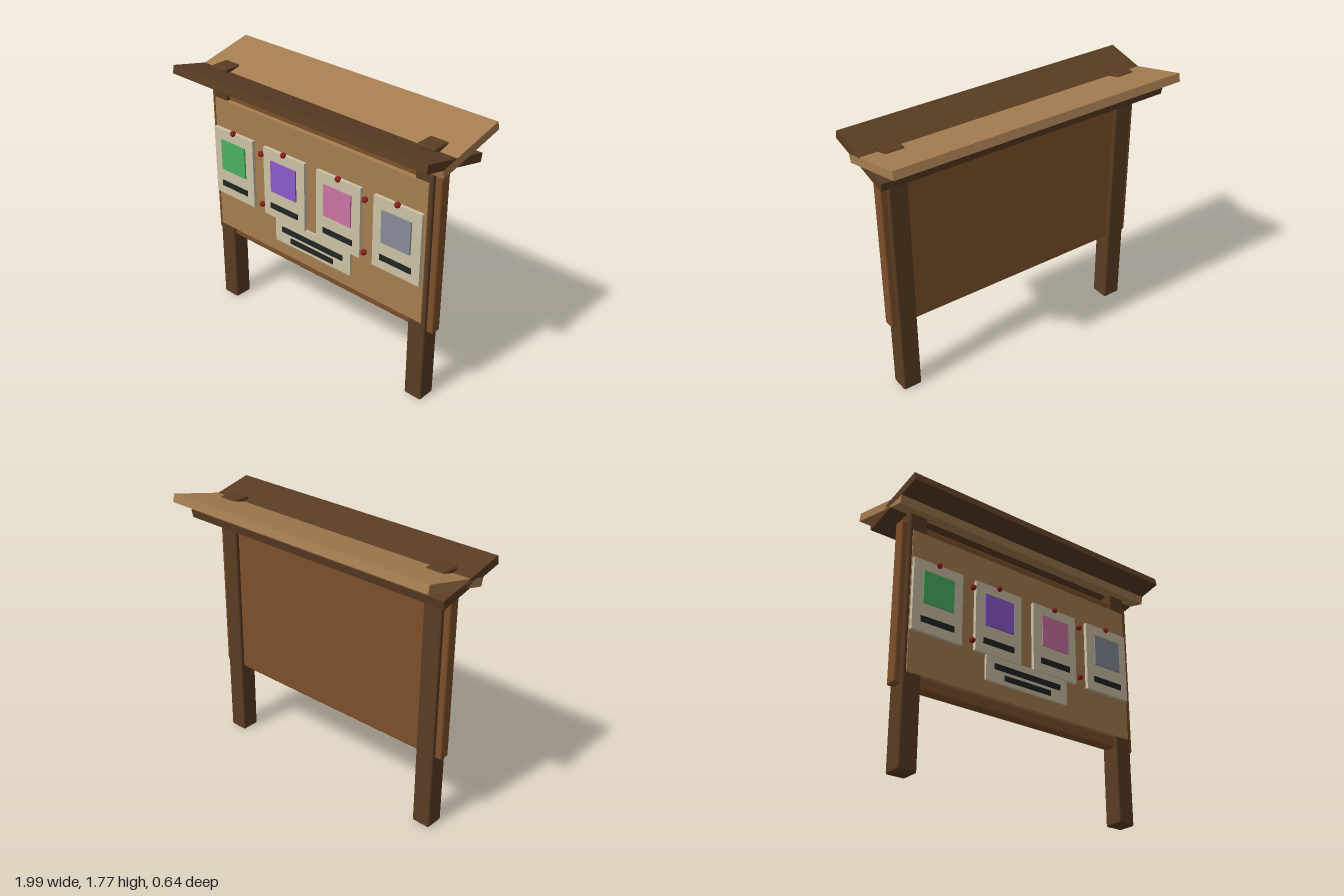
import * as THREE from 'three';
import { RoundedBoxGeometry } from 'three/addons/geometries/RoundedBoxGeometry.js';

const mat = (name, color) => {
  const m = new THREE.MeshStandardMaterial({ color });
  m.name = name;
  return m;
};

export function createModel() {
  const darkWood = mat('dark wood', 0x5a3c23);
  const boardWood = mat('board wood', 0x7d4f2a);
  const lightWood = mat('light wood', 0xa67d50);
  const paper = mat('paper', 0xcdc2a6);
  const ink = mat('ink', 0x202524);
  const pinRed = mat('pin red', 0x8e1f1c);
  const pictures = [
    mat('green', 0x4ab062), mat('purple', 0x8b5bcc),
    mat('pink', 0xcb74a4), mat('slate grey', 0x858b98),
  ];

  const model = new THREE.Group();
  model.name = 'noticeBoard';

  const add = (name, geometry, material, x, y, z) => {
    const mesh = new THREE.Mesh(geometry, material);
    mesh.name = name;
    mesh.position.set(x, y, z);
    model.add(mesh);
    return mesh;
  };
  // Flat box given by its centre in x and y, and its back and front in z
  const plate = (name, material, x, y, w, h, back, front) =>
    add(name, new THREE.BoxGeometry(w, h, front - back), material, x, y, (back + front) / 2);

  // Posts
  for (const [side, x] of [['left', 0.817], ['right', -0.817]]) {
    add(side + 'Post', new RoundedBoxGeometry(0.125, 1.71, 0.125, 2, 0.012), darkWood, x, 0.855, 0.036);
  }

  // Backing board and the pin panel in front of it
  add('backingBoard', new RoundedBoxGeometry(1.84, 1.065, 0.075, 2, 0.012), boardWood, 0, 1.037, 0.037);
  plate('pinPanel', lightWood, 0, 1.037, 1.714, 0.925, 0.07, 0.106);

  // Two crossing roof planks
  const plank = new THREE.BoxGeometry(1.99, 0.053, 0.497);
  add('backRoofPlank', plank, lightWood, 0, 1.685, -0.07).rotation.x = 0.24;
  add('frontRoofPlank', plank, darkWood, 0, 1.657, 0.072).rotation.x = -0.22;

  // Pins
  const pinShape = new THREE.SphereGeometry(0.019, 16, 12);
  const pin = (x, y) => add('pin', pinShape, pinRed, x, y, 0.129);

  // Four notices, each with a picture, a line of print and a pin
  pictures.forEach((colour, i) => {
    const x = -0.679 + i * 0.449;
    plate('notice', paper, x, 1.071, 0.351, 0.47, 0.104, 0.129);
    plate('picture', colour, x, 1.128, 0.215, 0.213, 0.129, 0.1385);
    plate('printLine', ink, x, 0.916, 0.235, 0.038, 0.129, 0.135);
    pin(x, 1.305);
  });

  // Wide notice below them
  plate('wideNotice', paper, 0, 0.756, 0.635, 0.17, 0.104, 0.122);
  plate('printLine', ink, 0, 0.773, 0.512, 0.036, 0.122, 0.13);
  plate('printLine', ink, 0, 0.714, 0.36, 0.034, 0.122, 0.13);

  // Spare pins between the notices
  for (const x of [-0.428, 0.428]) for (const y of [0.892, 1.248]) pin(x, y);

  return model;
}
